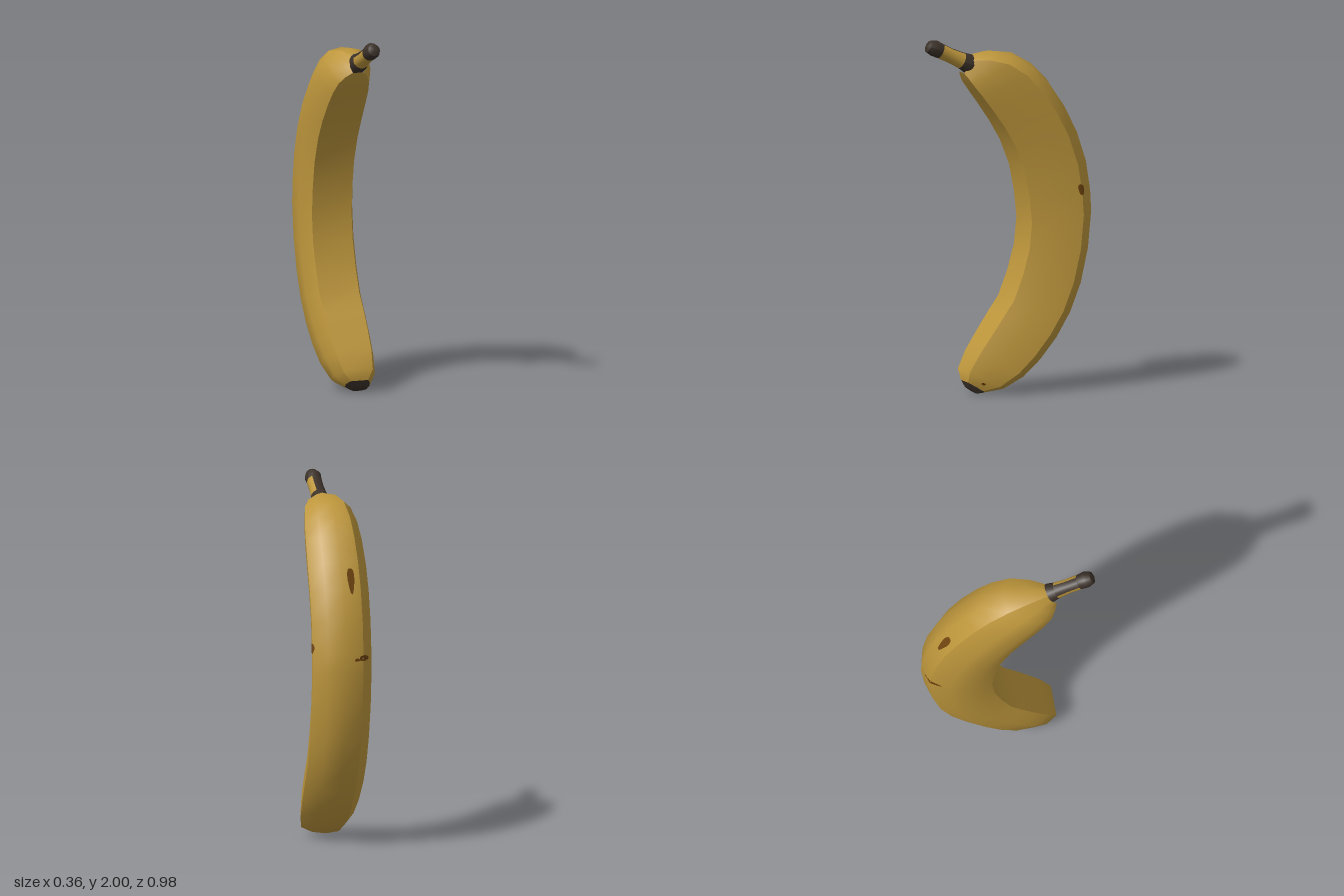
import * as THREE from 'three';

// Body stations: inner z, inner y, outer z, outer y, width scale
const STATIONS = [
  [0.24, 0.035, 0.19, 0.0, 0.28], [0.253, 0.07, 0.15, 0.005, 0.44],
  [0.255, 0.13, 0.04, 0.02, 0.75], [0.2, 0.23, -0.08, 0.08, 0.9],
  [0.13, 0.33, -0.18, 0.17, 0.97], [0.06, 0.43, -0.28, 0.29, 1],
  [-0.005, 0.52, -0.365, 0.43, 1], [-0.06, 0.66, -0.43, 0.59, 1],
  [-0.1, 0.8, -0.475, 0.79, 1], [-0.115, 0.95, -0.495, 1.0, 1],
  [-0.1, 1.1, -0.49, 1.11, 1], [-0.07, 1.25, -0.465, 1.28, 1],
  [-0.015, 1.39, -0.41, 1.45, 1], [0.05, 1.5, -0.335, 1.6, 0.99],
  [0.12, 1.6, -0.24, 1.74, 0.95], [0.18, 1.68, -0.15, 1.83, 0.89],
  [0.225, 1.74, -0.03, 1.9, 0.77], [0.25, 1.78, 0.1, 1.918, 0.54],
  [0.265, 1.805, 0.21, 1.905, 0.28],
];
// Lopsided cross-section: x, and depth from inner (0) to outer (1) curve
const SECTION = [
  [0.09, 0], [0.145, 0.35], [0.172, 0.73], [0.1, 0.93], [0, 1],
  [-0.1, 0.93], [-0.167, 0.65], [-0.18, 0.3], [-0.142, 0.02],
];
// Runs of the section between sharp ridges
const RIDGED_PANELS = [[0, 2], [2, 5], [5, 8], [8, 9]];

const bodyRings = STATIONS.map(([zi, yi, zo, yo, w], j) => SECTION.map(([x, v]) =>
  new THREE.Vector3(x * w + 0.008 * (1 - j / 9), yi + (yo - yi) * v, zi + (zo - zi) * v)));

// Skin between rings; every panel keeps its own edge vertices so its border stays sharp
function loft(rings, panels) {
  const pos = [], index = [], n = rings[0].length;
  for (const [from, to] of panels) {
    const base = pos.length / 3, row = to - from + 1;
    for (const ring of rings) for (let i = from; i <= to; i++) pos.push(...ring[i % n].toArray());
    for (let j = 0; j < rings.length - 1; j++) for (let i = 0; i < row - 1; i++) {
      const a = base + j * row + i, d = a + row;
      index.push(a, a + 1, d + 1, a, d + 1, d);
    }
  }
  return build(pos, index);
}

function build(pos, index) {
  const g = new THREE.BufferGeometry();
  g.setAttribute('position', new THREE.Float32BufferAttribute(pos, 3));
  g.setIndex(index);
  g.computeVertexNormals();
  return g;
}

const centre = ring => ring.reduce((s, p) => s.add(p), new THREE.Vector3()).divideScalar(ring.length);

// Fan of triangles from a middle point to a closed rim
function fan(rim, flip = false, middle = centre(rim)) {
  const index = [], n = rim.length;
  rim.forEach((_, i) => {
    const a = i + 1, b = (i + 1) % n + 1;
    index.push(0, ...(flip ? [b, a] : [a, b]));
  });
  return build([middle, ...rim].flatMap(p => p.toArray()), index);
}

// Point just above the skin at section position s and station position t
function skinPoint(s, t) {
  const i = Math.floor(s), j = Math.floor(t), n = SECTION.length;
  const along = ring => ring[i % n].clone().lerp(ring[(i + 1) % n], s - i);
  const p = along(bodyRings[j]).lerp(along(bodyRings[j + 1]), t - j);
  const axis = centre(bodyRings[j]).lerp(centre(bodyRings[j + 1]), t - j);
  return p.add(p.clone().sub(axis).setLength(0.005));
}

function stemRing([z, y, r]) {
  const up = new THREE.Vector3(0, 0.906, -0.423);
  return Array.from({ length: 16 }, (_, k) => {
    const a = k * Math.PI / 8;
    return new THREE.Vector3(r * Math.cos(a) - 0.003, y, z).addScaledVector(up, r * Math.sin(a));
  });
}

export function createModel() {
  const model = new THREE.Group();
  model.name = 'banana';
  const material = (name, color) => {
    const m = new THREE.MeshStandardMaterial({ color });
    m.name = name;
    return m;
  };
  const peel = material('yellow peel', 0xbd963c);
  const dark = material('dark ends', 0x3b3129);
  const brown = material('brown spots', 0x6e430f);
  const add = (name, geometry, mat) => {
    const mesh = new THREE.Mesh(geometry, mat);
    mesh.name = name;
    model.add(mesh);
  };

  // Curved fruit and its blossom end
  add('body', loft(bodyRings.slice(1), RIDGED_PANELS), peel);
  add('bottomTip', loft(bodyRings.slice(0, 2), RIDGED_PANELS), dark);
  add('bottomTipEnd', fan(bodyRings[0], true), dark);

  // Stem: dark collar, yellow shaft with a dark top streak, dark cut end
  const stem = [
    [0.19, 1.835, 0.055], [0.235, 1.857, 0.054], [0.272, 1.875, 0.046],
    [0.335, 1.905, 0.041], [0.4, 1.937, 0.042], [0.44, 1.957, 0.046], [0.473, 1.968, 0.034],
  ].map(stemRing);
  const all = [[0, 16]];
  add('stemCollar', loft(stem.slice(0, 3), all), dark);
  add('stemShaft', loft(stem.slice(2, 5), [[7, 19]]), peel);
  add('stemStreak', loft(stem.slice(2, 5), [[3, 7]]), dark);
  add('stemTip', loft(stem.slice(4), all), dark);
  add('stemEnd', fan(stem[6], false, new THREE.Vector3(-0.003, 1.972, 0.487)), dark);

  // Ripe spots: section position, station position, radii in both
  const spots = [
    [4.45, 12.4, 0.2, 0.45], [2, 10.15, 0.16, 0.19], [5.1, 9.75, 0.4, 0.14],
    [4.6, 9.68, 0.14, 0.08], [1.2, 1.55, 0.15, 0.12],
  ];
  spots.forEach(([s, t, rs, rt], k) => {
    const rim = Array.from({ length: 16 }, (_, i) => {
      const a = i * Math.PI / 8, wobble = 1 + 0.12 * Math.sin(3 * a + k);
      return skinPoint(s + rs * wobble * Math.cos(a), t + rt * wobble * Math.sin(a));
    });
    add('spot' + (k + 1), fan(rim, false, skinPoint(s, t)), brown);
  });
  return model;
}
